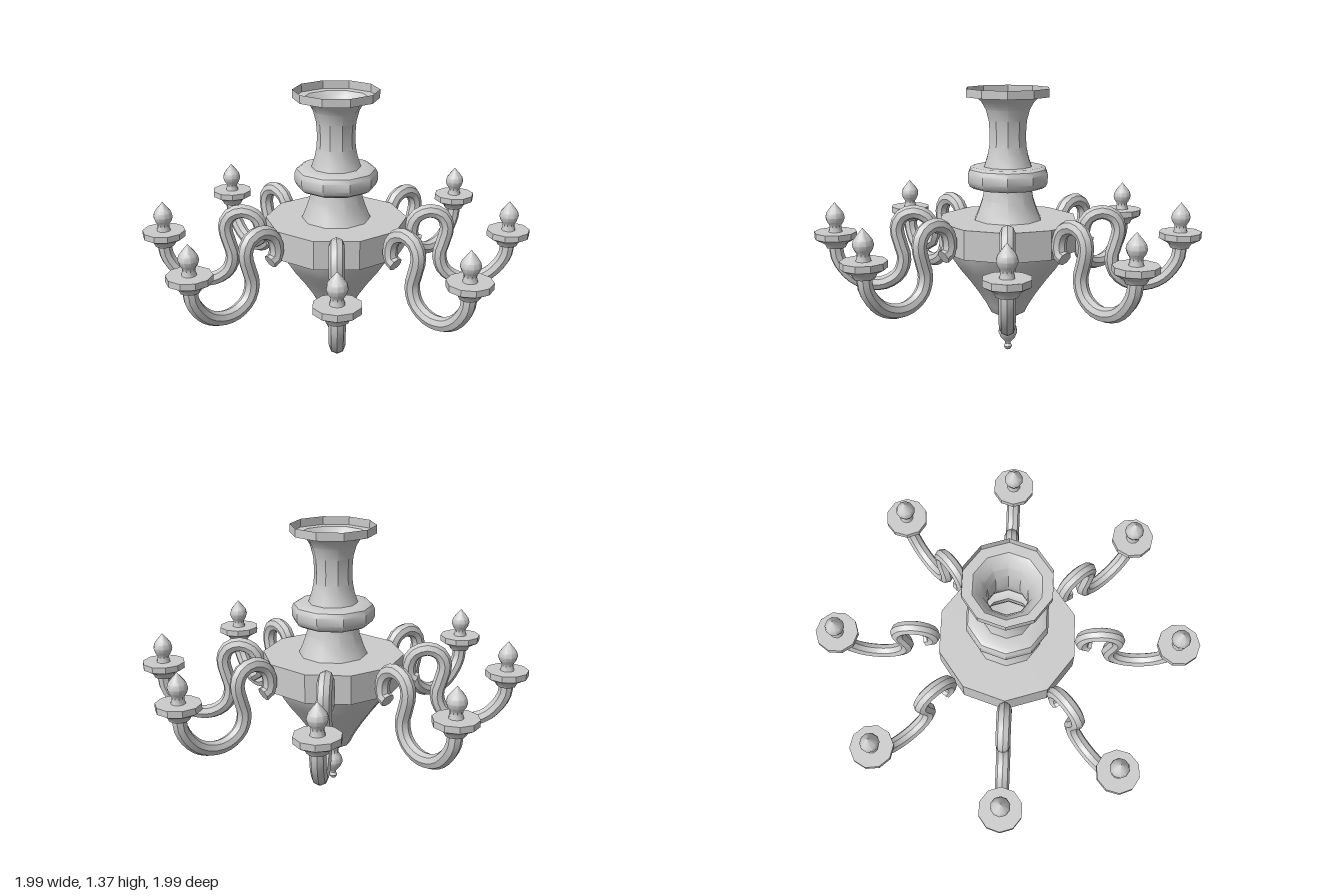
import * as THREE from 'three';
import { toCreasedNormals } from 'three/addons/utils/BufferGeometryUtils.js';

const SIDES = 10;
const CREASE = 0.62;
const material = new THREE.MeshStandardMaterial({ color: 0xcccccc, side: THREE.DoubleSide });

function mesh(name, geometry) {
  const m = new THREE.Mesh(toCreasedNormals(geometry, CREASE), material);
  m.name = name;
  return m;
}

// Turned part from [radius, height] pairs, listed bottom to top
function turned(name, profile) {
  const points = profile.map(([r, y]) => new THREE.Vector2(r, y));
  return mesh(name, new THREE.LatheGeometry(points, SIDES, Math.PI / 2));
}

// S-shaped arm in the xy plane, from the inner scroll out to the candle dish
const armPath = new THREE.CatmullRomCurve3([
  [0.425, 0.575], [0.395, 0.59], [0.385, 0.645], [0.41, 0.71], [0.48, 0.74],
  [0.545, 0.715], [0.57, 0.655], [0.555, 0.58], [0.535, 0.5], [0.56, 0.42],
  [0.63, 0.37], [0.71, 0.362], [0.79, 0.39], [0.85, 0.45], [0.88, 0.51], [0.885, 0.575],
].map(([x, y]) => new THREE.Vector3(x, y, 0)));

function createArm() {
  const arm = new THREE.Group();
  arm.add(mesh('scrollArm', new THREE.TubeGeometry(armPath, 32, 0.037, 8)));

  // Flat cut at the scroll end
  const cap = mesh('scrollEnd', new THREE.CircleGeometry(0.037, 8));
  cap.position.copy(armPath.getPoint(0));
  cap.lookAt(cap.position.clone().sub(armPath.getTangent(0)));
  arm.add(cap);

  const dish = turned('candleDish', [
    [0, 0.555], [0.05, 0.555], [0.06, 0.575], [0.065, 0.58], [0.11, 0.605], [0.11, 0.637], [0, 0.637],
  ]);
  const bulb = turned('flameBulb', [
    [0.036, 0.635], [0.03, 0.66], [0.031, 0.672], [0.043, 0.69], [0.05, 0.712],
    [0.044, 0.735], [0.028, 0.757], [0.012, 0.775], [0, 0.79],
  ]);
  dish.position.x = bulb.position.x = 0.885;
  arm.add(dish, bulb);
  return arm;
}

export function createModel() {
  const chandelier = new THREE.Group();
  chandelier.name = 'chandelier';

  // Hanging finial
  chandelier.add(turned('finial', [
    [0, 0], [0.014, 0.006], [0.022, 0.022], [0.014, 0.036], [0.016, 0.046], [0.038, 0.07],
    [0.051, 0.1], [0.046, 0.125], [0.029, 0.15], [0.029, 0.172], [0.035, 0.185],
  ]));

  // Bowl and drum
  chandelier.add(turned('bowl', [
    [0.035, 0.185], [0.09, 0.215], [0.112, 0.26], [0.15, 0.32], [0.2, 0.39],
    [0.255, 0.46], [0.295, 0.52], [0.31, 0.56],
  ]));
  chandelier.add(turned('drum', [[0.31, 0.56], [0.36, 0.56], [0.36, 0.708], [0.175, 0.708]]));

  // Column with a rounded collar, open at the top
  chandelier.add(turned('columnBase', [[0.175, 0.708], [0.155, 0.755], [0.136, 0.81], [0.125, 0.87]]));
  chandelier.add(turned('collar', [
    [0.125, 0.87], [0.18, 0.87], [0.2, 0.882], [0.21, 0.905], [0.21, 0.945],
    [0.2, 0.967], [0.18, 0.978], [0.125, 0.978],
  ]));
  chandelier.add(turned('neck', [
    [0.125, 0.978], [0.108, 1.03], [0.098, 1.08], [0.095, 1.14], [0.1, 1.21],
    [0.115, 1.265], [0.138, 1.305], [0.165, 1.328],
  ]));
  chandelier.add(turned('ceilingRim', [[0.165, 1.328], [0.215, 1.328], [0.215, 1.37]]));

  // Eight arms; the diagonal ones sit slightly off 45 degrees
  [0, 40.3, 90, 132.5, 180, 220.2, 270, 312.7].forEach((degrees) => {
    const arm = createArm();
    arm.name = 'candleArm';
    arm.rotation.y = THREE.MathUtils.degToRad(degrees);
    chandelier.add(arm);
  });

  return chandelier;
}
